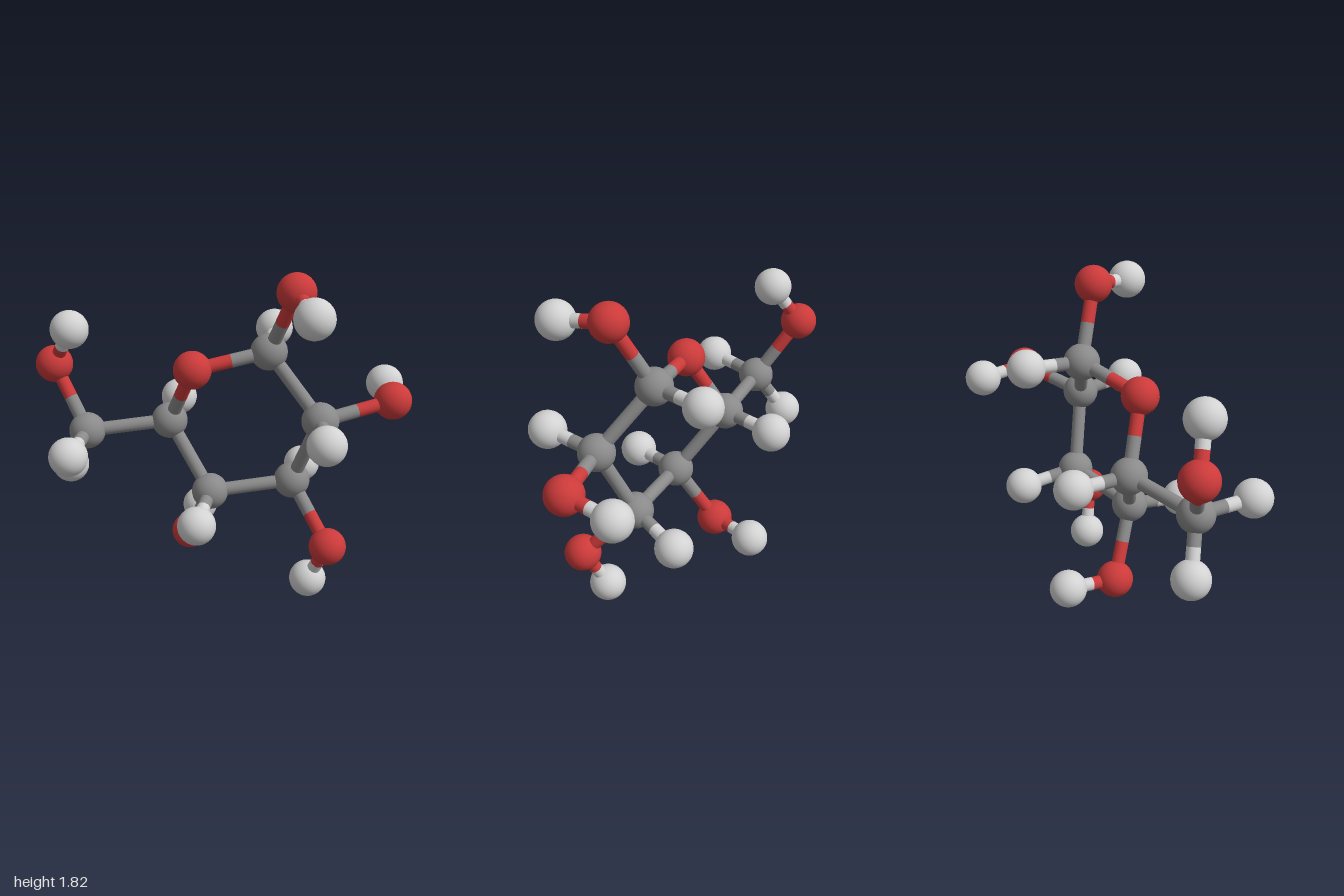
import * as THREE from 'three';

// Ball-and-stick model of a six-membered sugar ring
const materials = {
  C: new THREE.MeshStandardMaterial({ name: 'carbon grey', color: 0x8a8a8a }),
  O: new THREE.MeshStandardMaterial({ name: 'oxygen red', color: 0xcc3a3a }),
  H: new THREE.MeshStandardMaterial({ name: 'hydrogen white', color: 0xd2d2d2 }),
};
const names = { C: 'carbon', O: 'oxygen', H: 'hydrogen' };
const radii = { C: 0.097, O: 0.099, H: 0.1 };
const BOND_RADIUS = 0.036;

// Atom centres; the first letter of each key is the element
const atoms = {
  O5: [-0.125, 1.29, 0.08],
  C1: [0.25, 1.36, -0.065],
  C2: [0.535, 1.045, 0.06],
  C3: [0.39, 0.64, -0.05],
  C4: [-0.037, 0.6, 0.073],
  C5: [-0.28, 0.94, -0.065],
  C6: [-0.7, 0.91, 0.073],
  O1: [0.394, 1.72, 0.08],
  O2: [0.897, 1.105, -0.127],
  O3: [0.607, 0.356, 0.143],
  O4: [-0.184, 0.247, -0.095],
  O6: [-0.9, 1.233, -0.05],
  H1: [0.243, 1.388, -0.383],
  H2: [0.587, 1.053, 0.373],
  H3: [0.42, 0.593, -0.36],
  H4: [-0.053, 0.561, 0.388],
  H5: [-0.29, 0.952, -0.38],
  H6a: [-0.705, 0.908, 0.402],
  H6b: [-0.84, 0.65, -0.03],
  HO1: [0.5, 1.673, 0.337],
  HO2: [0.853, 1.095, -0.405],
  HO3: [0.505, 0.104, 0.072],
  HO4: [-0.173, 0.27, -0.37],
  HO6: [-0.773, 1.462, 0.047],
};

const bonds = [
  // ring
  ['O5', 'C1'], ['C1', 'C2'], ['C2', 'C3'], ['C3', 'C4'], ['C4', 'C5'], ['C5', 'O5'],
  // side arm
  ['C5', 'C6'], ['C6', 'H6a'], ['C6', 'H6b'],
];
// hydroxyl groups, then ring hydrogens
for (const n of [1, 2, 3, 4, 6]) bonds.push([`C${n}`, `O${n}`], [`O${n}`, `HO${n}`]);
for (const n of [1, 2, 3, 4, 5]) bonds.push([`C${n}`, `H${n}`]);

// Half of a bond, coloured like the atom it starts from
function halfBond(from, to, element) {
  const dir = to.clone().sub(from);
  const mesh = new THREE.Mesh(
    new THREE.CylinderGeometry(BOND_RADIUS, BOND_RADIUS, dir.length(), 24),
    materials[element]
  );
  mesh.name = `${names[element]}HalfBond`;
  mesh.position.copy(from).add(to).multiplyScalar(0.5);
  mesh.quaternion.setFromUnitVectors(new THREE.Vector3(0, 1, 0), dir.normalize());
  return mesh;
}

export function createModel() {
  const model = new THREE.Group();
  model.name = 'moleculeModel';

  // Atoms
  const atomGroup = new THREE.Group();
  atomGroup.name = 'atoms';
  for (const [key, centre] of Object.entries(atoms)) {
    const element = key[0];
    const ball = new THREE.Mesh(new THREE.SphereGeometry(radii[element], 32, 20), materials[element]);
    ball.name = `${names[element]}Atom`;
    ball.position.set(...centre);
    atomGroup.add(ball);
  }

  // Bonds, split at the middle
  const bondGroup = new THREE.Group();
  bondGroup.name = 'bonds';
  for (const [a, b] of bonds) {
    const start = new THREE.Vector3(...atoms[a]);
    const end = new THREE.Vector3(...atoms[b]);
    const middle = start.clone().lerp(end, 0.5);
    bondGroup.add(halfBond(start, middle, a[0]), halfBond(end, middle, b[0]));
  }

  model.add(atomGroup, bondGroup);
  return model;
}
